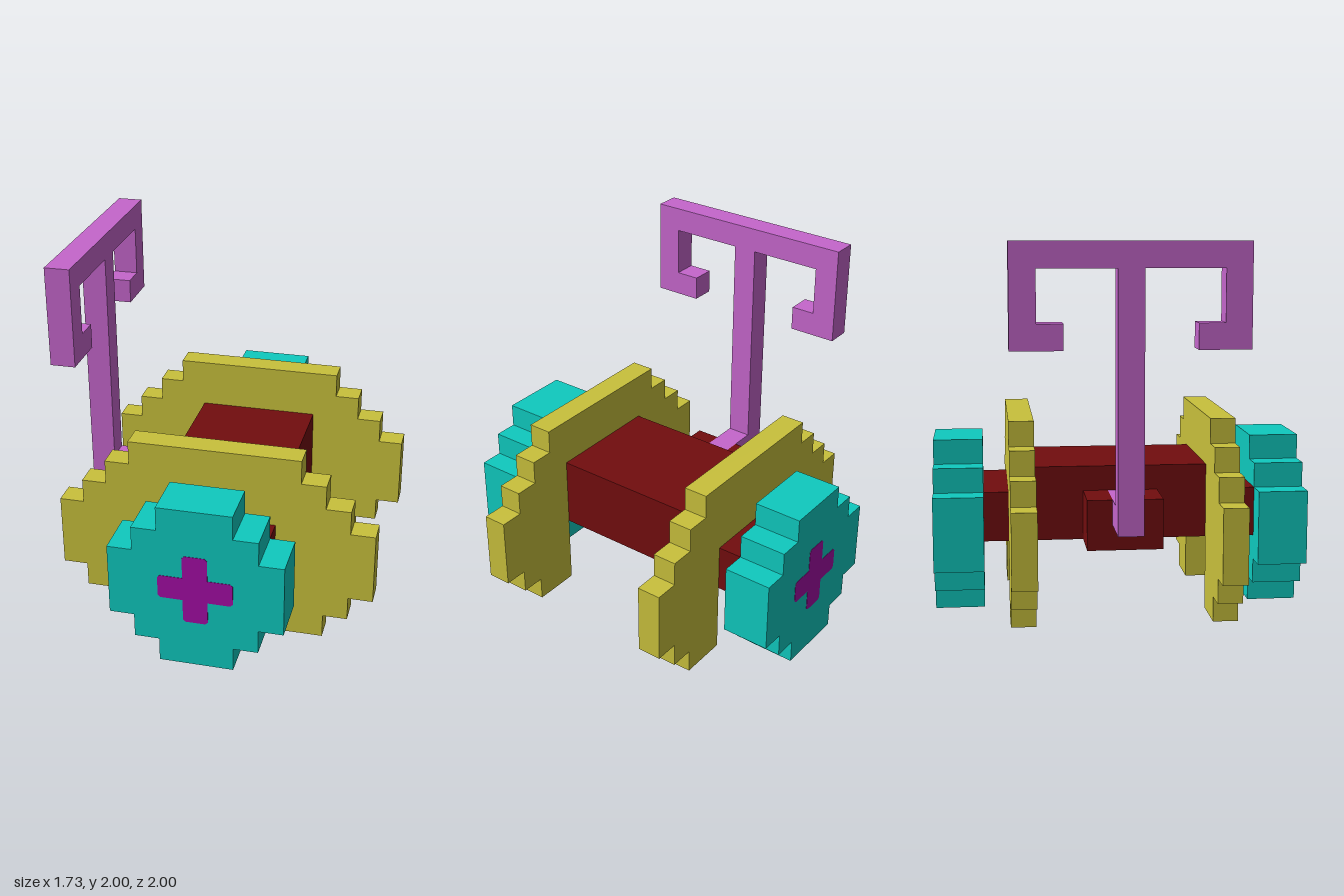
import * as THREE from 'three';

const U = 2 / 15; // one block of the grid

const material = (name, color) => {
  const m = new THREE.MeshStandardMaterial({ color });
  m.name = name;
  return m;
};

// Mirrors a right-hand outline (listed bottom to top) into a closed symmetric shape
function mirrored(points) {
  const left = points.map(([x, y]) => [-x, y]).reverse();
  return outline([...points, ...left]);
}

function outline(points) {
  return new THREE.Shape(points.map(([x, y]) => new THREE.Vector2(x * U, y * U)));
}

function slab(name, shape, depth, mat, z = 0) {
  const geo = new THREE.ExtrudeGeometry(shape, { depth, bevelEnabled: false });
  geo.translate(0, 0, -depth / 2);
  const mesh = new THREE.Mesh(geo, mat);
  mesh.name = name;
  mesh.position.z = z;
  return mesh;
}

// Box given by its limits in blocks
function block(name, [x0, x1], [y0, y1], [z0, z1], mat) {
  const mesh = new THREE.Mesh(
    new THREE.BoxGeometry((x1 - x0) * U, (y1 - y0) * U, (z1 - z0) * U), mat);
  mesh.position.set((x0 + x1) / 2 * U, (y0 + y1) / 2 * U, (z0 + z1) / 2 * U);
  mesh.name = name;
  return mesh;
}

export function createModel() {
  const model = new THREE.Group();
  model.name = 'cart';
  const yellow = material('yellow', 0xc9c13c);
  const teal = material('teal', 0x0fcabf);
  const darkRed = material('darkRed', 0x720d0e);
  const lilac = material('lilac', 0xc566cc);
  const magenta = material('magenta', 0xa30ca5);

  // Stepped side plate with an arch that the axle fills at the top
  const plateShape = mirrored([
    [2.5, 5], [2.5, 0], [4.5, 0], [4.5, 1], [5.5, 1], [5.5, 2], [6.5, 2], [6.5, 5],
    [5.5, 5], [5.5, 6], [4.5, 6], [4.5, 7], [3.5, 7], [3.5, 8],
  ]);
  // Stepped wheel
  const wheelShape = mirrored([
    [1.5, 0], [1.5, 1], [2.5, 1], [2.5, 2], [3.5, 2], [3.5, 5],
    [2.5, 5], [2.5, 6], [1.5, 6], [1.5, 7],
  ]);
  // Hub cross with slightly cut corners
  const cross = [];
  for (let i = 0; i < 4; i++) {
    const c = Math.round(Math.cos(i * Math.PI / 2)), s = Math.round(Math.sin(i * Math.PI / 2));
    for (const [x, y] of [[1.4, -0.5], [1.5, -0.4], [1.5, 0.4], [1.4, 0.5], [0.5, 0.5]]) {
      cross.push([x * c - y * s, x * s + y * c + 3.5]);
    }
  }
  const crossShape = outline(cross);

  for (const [side, s] of [['front', 1], ['back', -1]]) {
    model.add(slab(side + 'Plate', plateShape, U, yellow, s * 4 * U));
    model.add(slab(side + 'Wheel', wheelShape, 2 * U, teal, s * 6.5 * U));
    // The hub shows on both faces of the wheel
    model.add(slab(side + 'Hub', crossShape, 2 * U + 0.004, magenta, s * 6.5 * U));
    model.add(block(side + 'Axle', [-2.5, 2.5], [3, 5], s > 0 ? [3.5, 5.5] : [-5.5, -3.5], darkRed));
    // Cheeks either side of the handle arm
    model.add(block(side + 'BracketCheek', [-4.5, -2.5], [4, 5], s > 0 ? [0.5, 1.5] : [-1.5, -0.5], darkRed));
  }

  // Body and handle bracket
  model.add(block('body', [-2.5, 2.5], [3, 6], [-3.5, 3.5], darkRed));
  model.add(block('bracketBase', [-4.5, -2.5], [3, 4], [-1.5, 1.5], darkRed));

  // Handle: arm, then upright with a hooked crossbar
  model.add(block('handleArm', [-5.5, -2.5], [4, 5], [-0.5, 0.5], lilac));
  const handle = slab('handle', mirrored([
    [0.5, 4], [0.5, 14], [3.5, 14], [3.5, 12], [2.5, 12], [2.5, 11], [4.5, 11], [4.5, 15],
  ]), U, lilac);
  handle.rotation.y = Math.PI / 2;
  handle.position.x = -6 * U;
  model.add(handle);

  return model;
}
